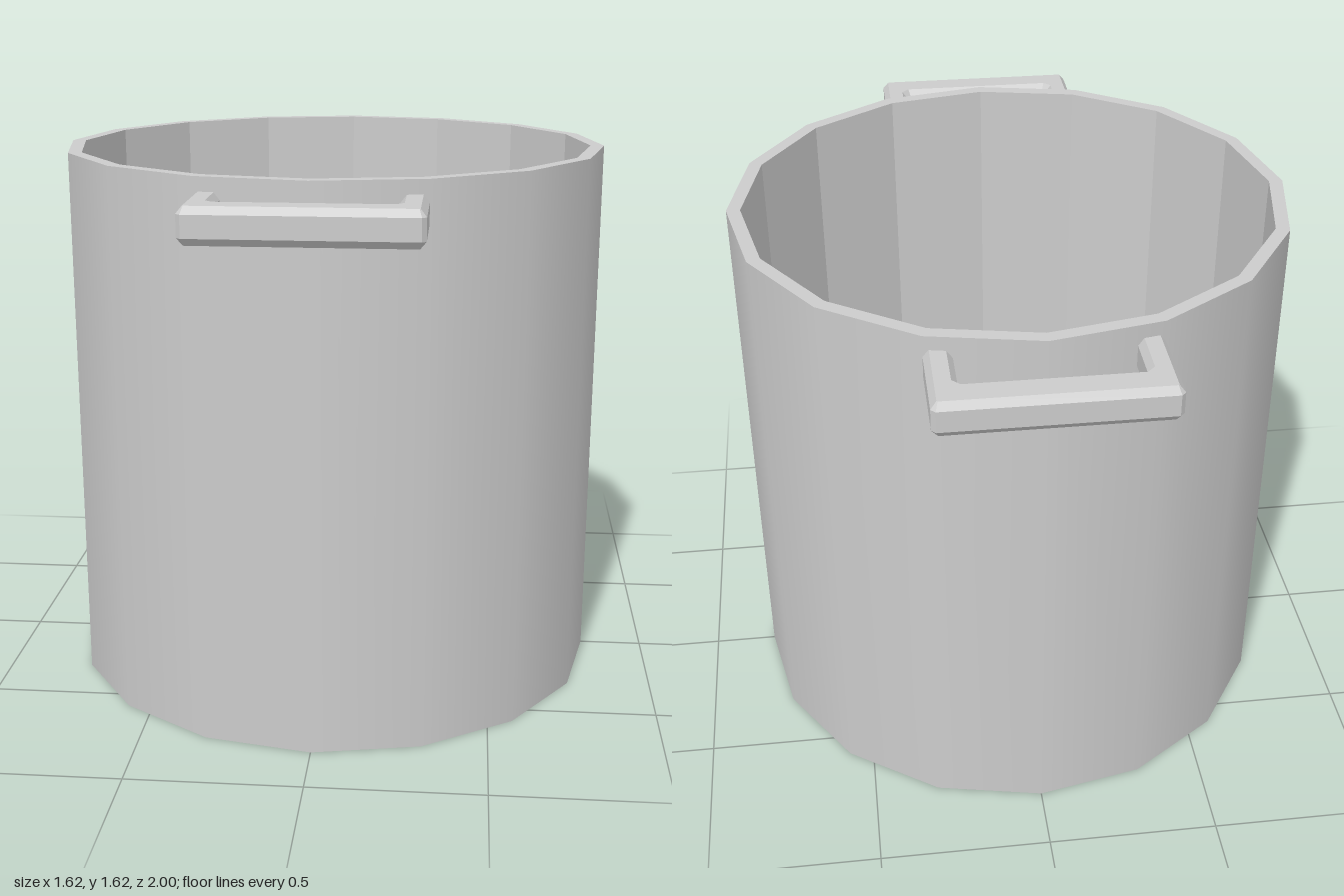
import * as THREE from 'three';

const R = 0.81, INNER = 0.77, H = 1.62, FLOOR = 0.04, SIDES = 16;

// Revolves a short profile of [radius, height] pairs into a 16-sided surface
function revolve(name, profile, flatShading) {
  const points = profile.map(([r, y]) => new THREE.Vector2(r, y));
  const material = new THREE.MeshStandardMaterial({ color: 0xcccccc, flatShading });
  const mesh = new THREE.Mesh(new THREE.LatheGeometry(points, SIDES), material);
  mesh.name = name;
  return mesh;
}

// U-shaped carrying handle with chamfered edges and corners
function handleGeometry() {
  const half = 0.31, inner = 0.235, root = 0.73, tip = 1, gap = 0.9, c = 0.012;
  const shape = new THREE.Shape([
    [-half, root], [-inner, root],
    [-inner, gap - c], [-inner + c, gap], [inner - c, gap], [inner, gap - c],
    [inner, root], [half, root],
    [half, tip - c], [half - c, tip], [-half + c, tip], [-half, tip - c],
  ].map(([x, z]) => new THREE.Vector2(x, z)));
  const bevel = 0.016, thick = 0.02;
  const geometry = new THREE.ExtrudeGeometry(shape, {
    depth: 0.1 - 2 * thick, bevelEnabled: true, bevelSegments: 1,
    bevelSize: bevel, bevelOffset: -bevel, bevelThickness: thick,
  });
  // Lay flat: shape y becomes z, extrusion runs downward
  geometry.rotateX(Math.PI / 2);
  geometry.translate(0, 1.58 - thick, 0);
  return geometry;
}

export function createModel() {
  const pot = new THREE.Group();
  pot.name = 'cookingPot';

  // Body: smooth outside, faceted inside
  pot.add(
    revolve('base', [[0, 0], [R, 0]], true),
    revolve('outerWall', [[R, 0], [R, H]], false),
    revolve('rim', [[R, H], [INNER, H]], true),
    revolve('innerWall', [[INNER, H], [INNER, FLOOR]], true),
    revolve('innerFloor', [[INNER, FLOOR], [0, FLOOR]], true),
  );

  // Handles at front and back
  const geometry = handleGeometry();
  const material = new THREE.MeshStandardMaterial({ color: 0xcccccc, flatShading: true });
  ['frontHandle', 'backHandle'].forEach((name, i) => {
    const handle = new THREE.Mesh(geometry, material);
    handle.name = name;
    handle.rotation.y = i * Math.PI;
    pot.add(handle);
  });
  return pot;
}
